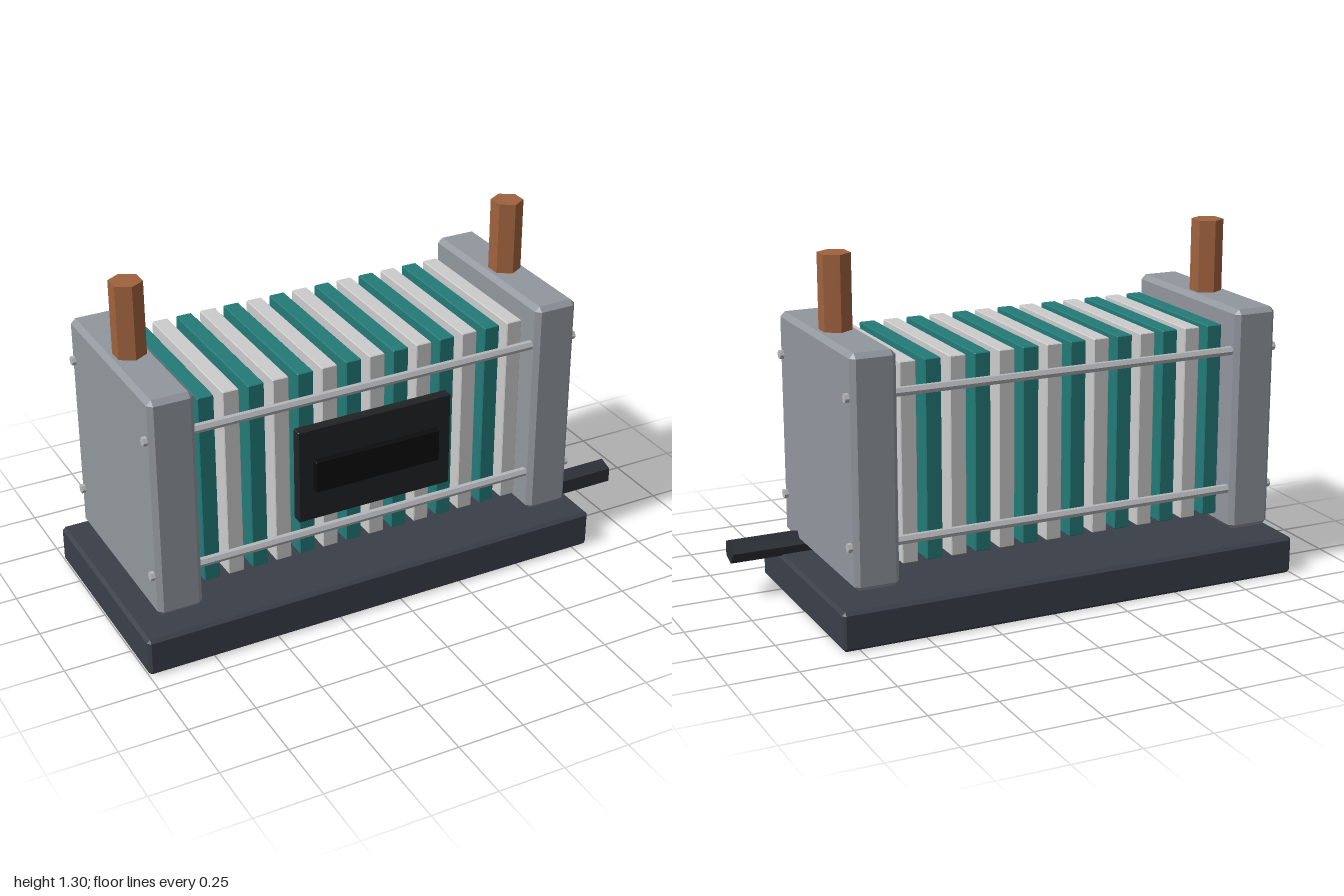
import * as THREE from 'three';
import { ConvexGeometry } from 'three/addons/geometries/ConvexGeometry.js';

const paint = (color) => new THREE.MeshStandardMaterial({ color, flatShading: true });

// Box with every edge chamfered by b
function chamferBox(w, h, d, b) {
  const points = [];
  for (const sx of [-1, 1]) for (const sy of [-1, 1]) for (const sz of [-1, 1]) {
    for (let axis = 0; axis < 3; axis++) {
      const inset = [b, b, b];
      inset[axis] = 0;
      points.push(new THREE.Vector3(
        sx * (w / 2 - inset[0]), sy * (h / 2 - inset[1]), sz * (d / 2 - inset[2])));
    }
  }
  return new ConvexGeometry(points);
}

export function createModel() {
  const group = new THREE.Group();
  const midX = -0.094; // centre of the stack and base

  const add = (name, geometry, material, x, y, z) => {
    const mesh = new THREE.Mesh(geometry, material);
    mesh.name = name;
    mesh.position.set(x, y, z);
    group.add(mesh);
    return mesh;
  };

  const steel = paint(0x92979e);
  const rodMetal = paint(0xb4b7ba);
  const copper = paint(0xa0623f);
  const teal = paint(0x237a78);
  const white = paint(0xcccccc);

  // Base slab
  add('base', chamferBox(1.812, 0.145, 0.845, 0.012), paint(0x3a3f48), midX, 0.0725, 0);

  // End plates, each with a hexagonal copper terminal
  const plate = chamferBox(0.168, 0.845, 0.724, 0.018);
  const terminal = new THREE.CylinderGeometry(0.06, 0.06, 0.305, 6);
  for (const side of [-1, 1]) {
    const x = midX + side * 0.751;
    add('endPlate', plate, steel, x, 0.6085, 0);
    add('terminal', terminal, copper, x, 1.1525, 0);
  }

  // Stack of alternating cell plates
  const cell = chamferBox(0.06, 0.728, 0.61, 0.003);
  for (let i = 0; i < 14; i++) {
    add(i % 2 ? 'separatorPlate' : 'cellPlate', cell, i % 2 ? white : teal,
      midX + (i - 6.5) * 0.0934, 0.608, 0);
  }

  // Tie rods through both end plates
  const rod = new THREE.CylinderGeometry(0.017, 0.017, 1.7, 6).rotateZ(Math.PI / 2);
  for (const y of [0.343, 0.875]) {
    for (const z of [-0.328, 0.328]) add('tieRod', rod, rodMetal, midX, y, z);
  }

  // Display panel and its screen on the front
  add('displayPanel', chamferBox(0.605, 0.362, 0.04, 0.004), paint(0x202225), midX, 0.609, 0.362);
  add('displayScreen', chamferBox(0.49, 0.121, 0.03, 0.002), paint(0x0c0c0c), midX, 0.609, 0.391);

  // Five-sided cable stub lying on the base
  const cable = new THREE.CylinderGeometry(0.047, 0.047, 0.34, 5)
    .rotateY(Math.PI).rotateZ(Math.PI / 2);
  add('cableStub', cable, paint(0x2c3037), 0.83, 0.184, 0.242);

  return group;
}
